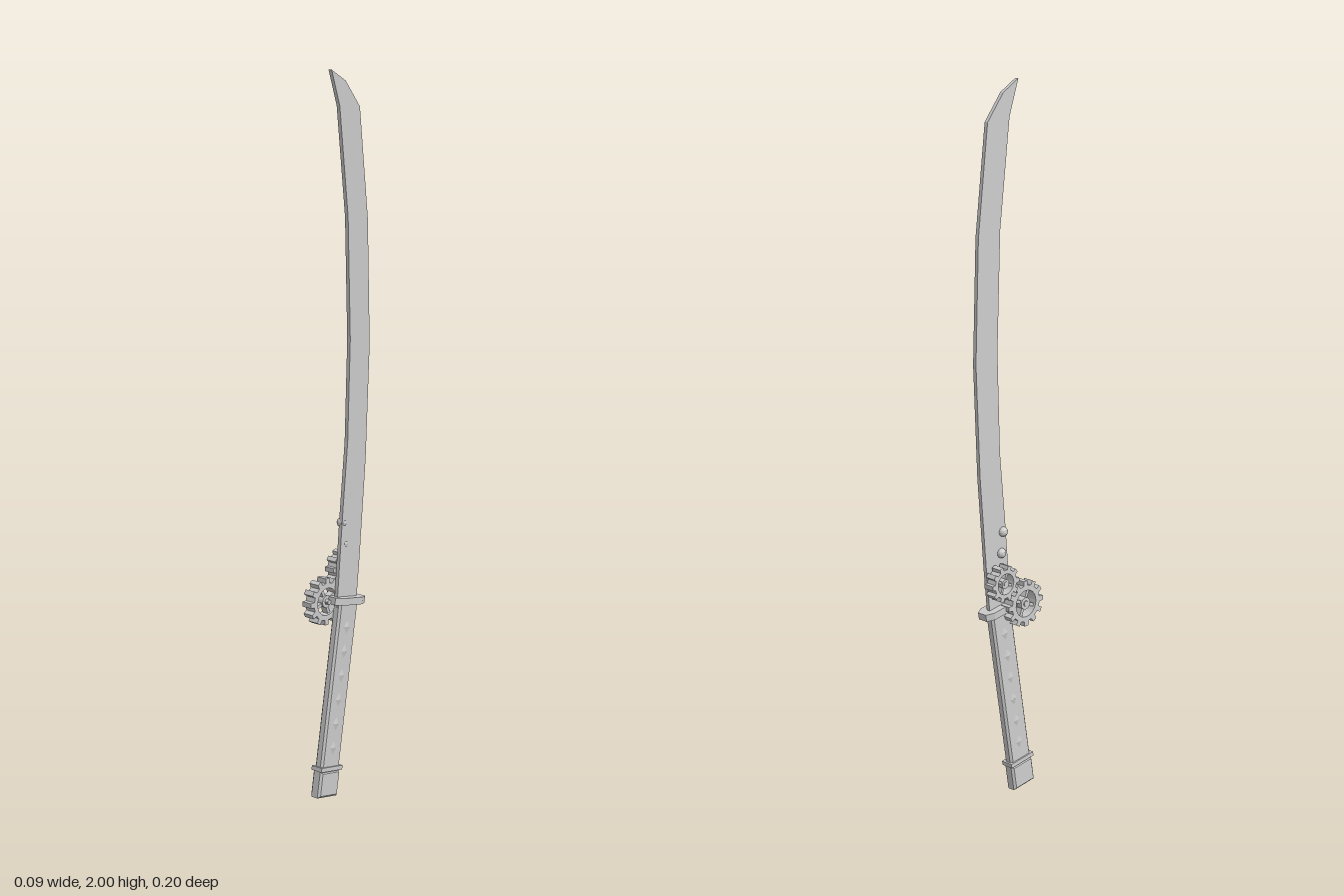
import * as THREE from 'three';

const mat = new THREE.MeshStandardMaterial({ color: 0xcccccc, flatShading: true });

function add(parent, geometry, name) {
  const mesh = new THREE.Mesh(geometry, mat);
  mesh.name = name;
  parent.add(mesh);
  return mesh;
}

const toShape = pts => new THREE.Shape(pts.map(p => new THREE.Vector2(p[0], p[1])));

// Extrudes a side outline given as (z, y), centred on x = 0
function slab(shape, thickness, bevel = 0) {
  const depth = thickness - 2 * bevel;
  const g = new THREE.ExtrudeGeometry(shape, {
    depth, curveSegments: 12, bevelEnabled: bevel > 0, bevelSegments: 1,
    bevelSize: bevel, bevelThickness: bevel, bevelOffset: -bevel,
  });
  return g.translate(0, 0, -depth / 2).rotateY(-Math.PI / 2);
}

// Toothed ring with spokes and a hub
function gear(name, radius, teeth, width) {
  const group = new THREE.Group();
  group.name = name;
  const pts = [];
  for (let i = 0; i < teeth; i++) {
    for (const [f, r] of [[-0.27, 0.8], [-0.2, 1], [0.2, 1], [0.27, 0.8]]) {
      const a = (i + f) / teeth * Math.PI * 2;
      pts.push([Math.cos(a) * r * radius, Math.sin(a) * r * radius]);
    }
  }
  const rim = toShape(pts);
  rim.holes.push(new THREE.Path().absarc(0, 0, radius * 0.58, 0, Math.PI * 2, true));
  add(group, slab(rim, width), 'gearRim');
  const hub = new THREE.Shape().absarc(0, 0, radius * 0.26, 0, Math.PI * 2, false);
  hub.holes.push(new THREE.Path().absarc(0, 0, radius * 0.12, 0, Math.PI * 2, true));
  add(group, slab(hub, width * 0.9), 'gearHub');
  for (let i = 0; i < 4; i++) {
    const spoke = new THREE.BoxGeometry(width * 0.6, radius * 0.4, radius * 0.14);
    spoke.translate(0, radius * 0.42, 0).rotateX(i * Math.PI / 2 + 0.4);
    add(group, spoke, 'gearSpoke');
  }
  return group;
}

export function createModel() {
  const model = new THREE.Group();
  model.name = 'sword';

  // The whole weapon leans slightly sideways
  const sword = new THREE.Group();
  sword.name = 'leaningSword';
  sword.position.x = -0.018;
  sword.rotation.z = -0.029;
  model.add(sword);

  // Curved blade with a clipped tip
  add(sword, slab(toShape([
    [0.012, 0.54], [-0.068, 0.54], [-0.078, 0.68], [-0.093, 0.945], [-0.098, 1.26],
    [-0.078, 1.6], [-0.035, 1.9], [0.024, 1.97], [0.08, 2.0],
    [0.045, 1.905], [0.002, 1.61], [-0.018, 1.28], [-0.017, 1.0], [-0.003, 0.8],
  ]), 0.011), 'blade');

  // Handle, pommel and pommel band follow one slanted axis
  const grip = new THREE.Group();
  grip.name = 'grip';
  grip.position.set(0, 0.006, 0.043);
  grip.rotation.x = -0.135;
  sword.add(grip);
  add(grip, slab(toShape([[-0.038, 0.01], [0.038, 0.01], [0.038, 0.55], [-0.038, 0.55]]),
    0.028, 0.006), 'handle');
  add(grip, slab(toShape([[-0.04, 0], [0.04, 0], [0.04, 0.075], [-0.04, 0.075]]),
    0.034, 0.006), 'pommel');
  add(grip, new THREE.BoxGeometry(0.037, 0.012, 0.087).translate(0, 0.081, 0), 'pommelBand');

  // Diamond studs on both faces
  for (const side of [-1, 1]) {
    for (let i = 0; i < 6; i++) {
      const stud = new THREE.OctahedronGeometry(1).scale(0.004, 0.02, 0.013);
      add(grip, stud.translate(side * 0.0138, 0.14 + i * 0.068, 0), 'diamondStud');
    }
  }

  // Tilted guard plate with cut corners
  const plate = toShape([[-0.027, -0.04], [-0.015, -0.062], [0.015, -0.062], [0.027, -0.04],
    [0.027, 0.04], [0.015, 0.062], [-0.015, 0.062], [-0.027, 0.04]]);
  const guard = add(sword, new THREE.ExtrudeGeometry(plate, { depth: 0.02, bevelEnabled: false })
    .translate(0, 0, -0.01).rotateX(Math.PI / 2), 'guard');
  guard.position.set(0, 0.555, -0.031);
  guard.rotation.x = -0.14;

  // Two meshing gears against the right face
  const largeGear = gear('largeGear', 0.066, 12, 0.032);
  largeGear.position.set(-0.024, 0.56, 0.037);
  const smallGear = gear('smallGear', 0.051, 10, 0.032);
  smallGear.position.set(-0.029, 0.64, -0.043);
  sword.add(largeGear, smallGear);
  for (const g of [largeGear, smallGear]) {
    const axle = new THREE.CylinderGeometry(0.007, 0.007, 0.04, 10).rotateZ(Math.PI / 2);
    add(g, axle.translate(0.004, 0, 0), 'gearAxle');
  }

  // Round rivets through the blade above the guard
  for (const [y, z] of [[0.775, -0.013], [0.715, -0.021]]) {
    add(sword, new THREE.SphereGeometry(0.014, 12, 8), 'rivet').position.set(-0.006, y, z);
  }
  return model;
}
